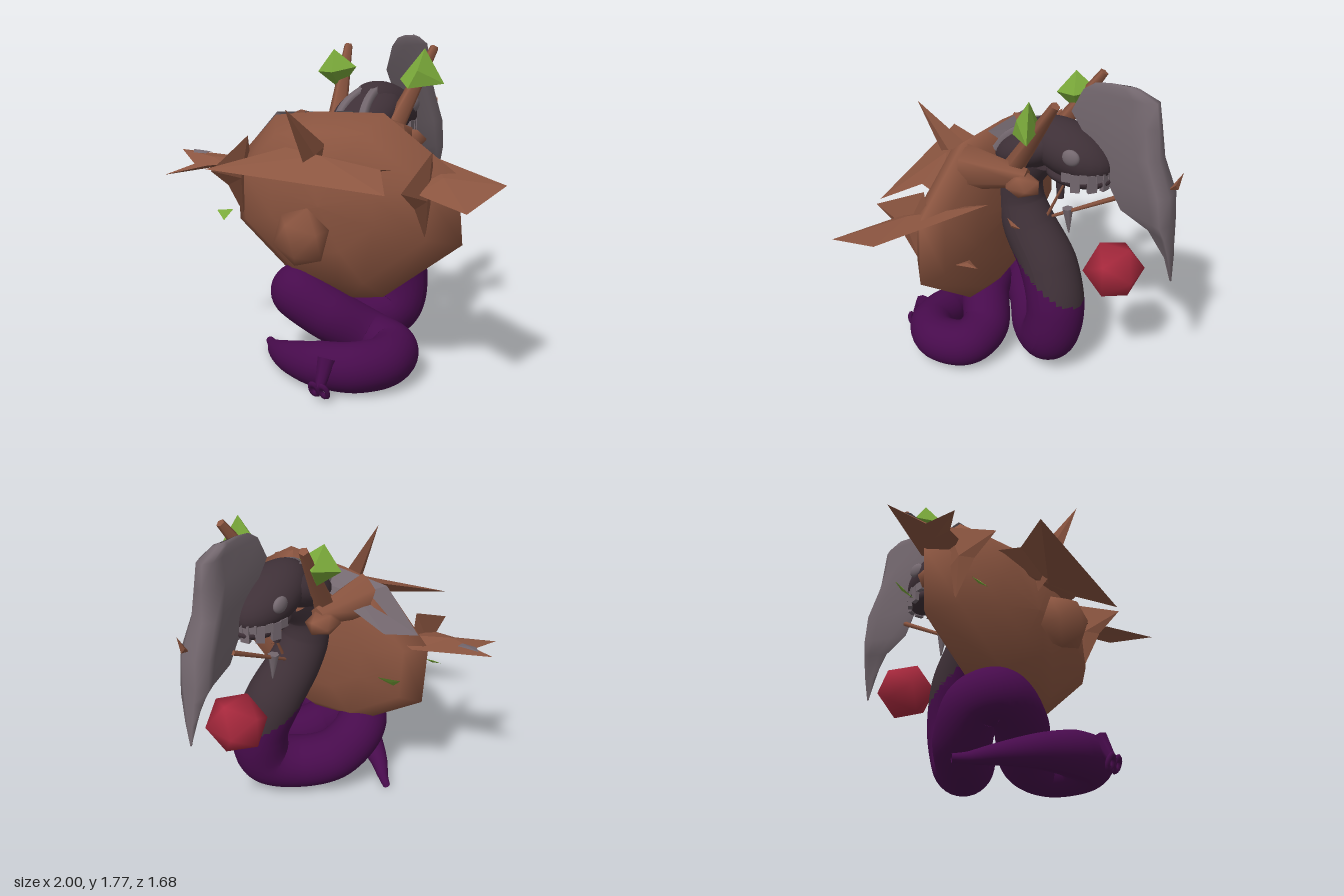
import * as THREE from 'three';
import { mergeVertices } from 'three/addons/utils/BufferGeometryUtils.js';

const mat = (name, color) => {
  const m = new THREE.MeshStandardMaterial({ color, side: THREE.DoubleSide });
  m.name = name;
  return m;
};
const V = (p) => new THREE.Vector3(...p);

// Icosahedron with shared vertices, so it shades smoothly
const softIco = () => {
  const g = new THREE.IcosahedronGeometry(1, 0);
  g.deleteAttribute('uv');
  g.deleteAttribute('normal');
  const m = mergeVertices(g, 1e-3);
  m.computeVertexNormals();
  return m;
};
// Smooth surface through equal rings of points
const loft = (rings) => {
  const n = rings[0].length, index = [];
  for (let k = 0; k < rings.length - 1; k++)
    for (let i = 0; i < n; i++) {
      const a = k * n + i, b = k * n + (i + 1) % n;
      index.push(a, a + n, b, b, a + n, b + n);
    }
  const g = new THREE.BufferGeometry();
  g.setAttribute('position', new THREE.Float32BufferAttribute(rings.flat(2), 3));
  g.setIndex(index);
  g.computeVertexNormals();
  return g;
};

export function createModel() {
  const root = new THREE.Group();
  const purple = mat('purpleScales', 0x470b4c);
  const dark = mat('darkHide', 0x3e3037);
  const wood = mat('wood', 0x8b5540);
  const bone = mat('bone', 0x74686f);
  const green = mat('green', 0x7aa93a);
  const red = mat('red', 0xa6283c);

  const add = (name, geo, material, pos = [0, 0, 0], scale = [1, 1, 1], rot = [0, 0, 0]) => {
    const m = new THREE.Mesh(geo, material);
    m.name = name;
    m.position.set(...pos);
    m.scale.set(...scale);
    m.rotation.set(...rot);
    root.add(m);
    return m;
  };
  // Faceted shard: an outline with a raised centre on both faces
  const shard = (name, pts, t, material) => {
    const p = pts.map(V), c = new THREE.Vector3(), n = new THREE.Vector3(), out = [];
    p.forEach((v) => c.addScaledVector(v, 1 / p.length));
    p.forEach((v, i) => n.add(v.clone().sub(c).cross(p[(i + 1) % p.length].clone().sub(c))));
    n.normalize();
    const a = c.clone().addScaledVector(n, t), b = c.clone().addScaledVector(n, -t);
    p.forEach((v, i) => {
      const w = p[(i + 1) % p.length];
      out.push(...a, ...v, ...w, ...b, ...w, ...v);
    });
    const g = new THREE.BufferGeometry();
    g.setAttribute('position', new THREE.Float32BufferAttribute(out, 3));
    g.computeVertexNormals();
    return add(name, g, material);
  };
  const side = (x, zy) => zy.map(([z, y]) => [x, y, z]);
  // Tapered rod between two points
  const rod = (name, a, b, r0, r1, material, n = 5) => {
    const d = V(b).sub(V(a)), mid = V(a).add(V(b)).multiplyScalar(0.5);
    const m = add(name, new THREE.CylinderGeometry(r1, r0, d.length(), n), material, mid.toArray());
    m.quaternion.setFromUnitVectors(new THREE.Vector3(0, 1, 0), d.normalize());
    return m;
  };

  // Serpent body: x, y, z, radius from neck to tail tip
  const path = [
    [0.03, 1.3, 0, 0.13], [0.03, 1.15, 0.1, 0.13], [0.03, 1, 0.1, 0.135], [0.05, 0.85, 0.03, 0.15],
    [0.09, 0.65, -0.11, 0.165], [0.14, 0.42, -0.185, 0.165], [0.13, 0.22, -0.14, 0.165],
    [0, 0.165, 0, 0.16], [-0.17, 0.23, 0.13, 0.155], [-0.24, 0.36, 0.27, 0.15], [-0.18, 0.39, 0.38, 0.15],
    [0, 0.3, 0.37, 0.145], [0.2, 0.17, 0.26, 0.14], [0.36, 0.14, 0.29, 0.135], [0.4, 0.135, 0.45, 0.132],
    [0.3, 0.13, 0.58, 0.13], [0.1, 0.115, 0.61, 0.12], [-0.1, 0.09, 0.56, 0.09],
    [-0.28, 0.055, 0.45, 0.055], [-0.39, 0.03, 0.35, 0.03], [-0.45, 0.025, 0.3, 0.022],
  ];
  const curve = new THREE.CatmullRomCurve3(path.map((p) => V(p.slice(0, 3))));
  const N = 320, R = 32;
  const body = new THREE.TubeGeometry(curve, N, 1, R);
  const bp = body.attributes.position;
  for (let i = 0; i <= N; i++) {
    const c = curve.getPointAt(i / N), f = curve.getUtoTmapping(i / N) * (path.length - 1);
    const k = Math.min(Math.floor(f), path.length - 2);
    const r = THREE.MathUtils.lerp(path[k][3], path[k + 1][3], f - k);
    for (let j = 0; j <= R; j++) {
      const q = i * (R + 1) + j, v = new THREE.Vector3().fromBufferAttribute(bp, q).sub(c).multiplyScalar(r).add(c);
      bp.setXYZ(q, v.x, Math.max(v.y, 0), v.z);
    }
  }
  body.computeVertexNormals();
  // Slanted colour break between dark neck and purple coils
  const darkFaces = [], purpleFaces = [], idx = body.index.array;
  for (let i = 0; i < idx.length; i += 3) {
    const t = [idx[i], idx[i + 1], idx[i + 2]];
    const y = t.reduce((s, q) => s + bp.getY(q) / 3, 0), z = t.reduce((s, q) => s + bp.getZ(q) / 3, 0);
    (y > 0.685 + 0.6 * z ? darkFaces : purpleFaces).push(...t);
  }
  body.setIndex([...darkFaces, ...purpleFaces]);
  body.clearGroups();
  body.addGroup(0, darkFaces.length, 0);
  body.addGroup(darkFaces.length, purpleFaces.length, 1);
  add('serpentBody', body, [dark, purple]);

  // Small knob with a ring on the front coil
  rod('coilKnob', [0.21, 0.2, 0.7], [0.21, 0.07, 0.77], 0.05, 0.025, purple, 8);
  for (const s of [-1, 1])
    add('knobRing', new THREE.TorusGeometry(0.022, 0.013, 6, 12), purple, [0.21 + s * 0.028, 0.06, 0.775], [1, 1.5, 1], [0.4, 0, 0]);

  // Head
  const ball = new THREE.SphereGeometry(1, 24, 16);
  add('skull', ball, dark, [0.03, 1.365, -0.2], [0.165, 0.14, 0.26], [-0.35, 0, 0]);
  add('hood', ball, dark, [0.03, 1.35, 0.0], [0.185, 0.12, 0.25], [0.4, 0, 0]);
  add('jaw', ball, dark, [0.03, 1.23, -0.26], [0.125, 0.06, 0.19]);
  for (const s of [-1, 1]) {
    add('eye', ball, bone, [0.03 + s * 0.145, 1.385, -0.28], [0.025, 0.045, 0.05]);
    const stripe = new THREE.CatmullRomCurve3([
      [s * 0.03 + 0.03, 1.49, -0.1], [s * 0.045 + 0.03, 1.46, 0.02], [s * 0.065 + 0.03, 1.4, 0.13], [s * 0.08 + 0.03, 1.31, 0.2],
    ].map(V));
    add('crestStripe', new THREE.TubeGeometry(stripe, 16, 0.029, 6), bone);
  }
  for (let i = 0; i < 13; i++) {
    const a = (i / 12 - 0.5) * 2.9, long = i % 2;
    add('tooth', new THREE.BoxGeometry(0.05, long ? 0.1 : 0.05, 0.025), bone,
      [0.03 + Math.sin(a) * 0.14, 1.25 + (long ? -0.01 : 0.02), -0.23 - Math.cos(a) * 0.2], [1, 1, 1], [0, -a + Math.PI, 0]);
  }

  // Bone blade over the face: height, front z, back z, half width
  const levels = [
    [1.767, -0.42, -0.54, 0.005], [1.755, -0.34, -0.58, 0.03], [1.71, -0.275, -0.68, 0.045], [1.58, -0.21, -0.7, 0.055],
    [1.42, -0.32, -0.72, 0.08], [1.24, -0.42, -0.79, 0.1], [1.08, -0.51, -0.8, 0.1],
    [1, -0.67, -0.806, 0.075], [0.86, -0.77, -0.814, 0.04], [0.73, -0.81, -0.82, 0.005],
  ];
  const section = [[0, 0.03], [0.35, 0.3], [0.7, 0.75], [0.88, 1], [1, 0.45]];
  add('faceBlade', loft(levels.map(([y, z0, z1, w]) => [
    ...section.map(([u, k]) => [0.035 + w * k, y, z0 + (z1 - z0) * u]),
    ...section.toReversed().map(([u, k]) => [0.035 - w * k, y, z0 + (z1 - z0) * u]),
  ])), bone);
  shard('bladeSplinter', side(0.05, [[-0.77, 1.27], [-0.84, 1.38], [-0.82, 1.28]]), 0.02, wood);

  // Shield: rings of one outline, from front centre round to back centre
  const outline = [[-0.66, 1.08], [-0.65, 0.73], [-0.25, 0.43], [0.1, 0.38], [0.3, 0.42], [0.75, 0.77], [0.72, 1.12], [0.3, 1.4], [-0.1, 1.385], [-0.38, 1.35]];
  const rings = [[0.001, 0.5], [0.45, 0.49], [0.8, 0.41], [1, 0.29], [0.85, 0.21], [0.5, 0.16], [0.001, 0.15]];
  add('shield', loft(rings.map(([s, z]) => outline.map(([x, y]) => [0.03 + (x - 0.03) * s, 0.92 + (y - 0.92) * s, z]))), wood);
  shard('shieldBackPatch', [[-0.6, 1.14, 0.28], [-0.38, 1.365, 0.28], [0.1, 1.395, 0.26], [0.1, 1.34, 0.14], [-0.17, 1.31, 0.09], [-0.48, 1.17, 0.13]], 0.02, bone);

  // Shield spikes and wings
  shard('rightWing', [[-1, 1.12, 0.37], [-0.6, 1.08, 0.22], [-0.45, 1.1, 0.27], [-0.6, 1.08, 0.47], [-0.7, 1.07, 0.5], [-0.86, 1.03, 0.67], [-0.83, 1.06, 0.46]], 0.03, wood);
  shard('wingPatch', [[-0.92, 1.125, 0.36], [-0.8, 1.12, 0.35], [-0.8, 1.115, 0.4], [-0.88, 1.115, 0.41]], 0.004, bone);
  shard('leftWing', [[0.45, 1.16, 0.05], [1, 1.11, 0.36], [0.94, 1.03, 0.68], [0.6, 1.05, 0.5], [0.45, 1.08, 0.3]], 0.035, wood);
  shard('frontLedge', [[-0.42, 1.13, 0.84], [0.53, 1.07, 0.69], [0.4, 1.15, 0.5], [0.45, 1.13, 0.35], [-0.35, 1.15, 0.37], [-0.15, 1.22, 0.52]], 0.06, wood);
  shard('centreSpike', side(0.03, [[0.77, 1.45], [0.42, 1.23], [0.45, 1], [0.6, 1.12]]), 0.025, wood);
  for (const x of [-0.54, 0.6])
    shard('sideSpike', side(x, [[0.34, 1.23], [0.66, 1.08], [0.52, 0.98], [0.4, 0.8], [0.3, 0.95]]), 0.03, wood);
  shard('splinter', [[0.6, 0.9, 0.08], [0.7, 0.92, 0.1], [0.65, 0.9, 0]], 0.01, wood);
  const ico = softIco();
  add('shieldBoss', ico, wood, [0.03, 0.795, 0.655], [0.16, 0.16, 0.115], [0, 0, 0.3]);

  // Harness arms and horns beside the head
  for (const s of [-1, 1]) {
    const x = (d) => 0.03 + s * d;
    rod('harnessArm', [x(0.27), 1.26, 0.28], [x(0.21), 1.25, -0.06], 0.13, 0.05, wood, 6);
    add('harnessKnot', ico, wood, [x(0.24), 1.22, -0.05], [0.09, 0.065, 0.11]);
    rod('horn', [x(0.18), 1.27, 0.04], [x(0.28), 1.71, -0.26], 0.06, 0.025, wood);
  }

  // Green crystals and leaves
  add('rightCrystal', new THREE.OctahedronGeometry(0.115), green, [-0.235, 1.58, -0.11], [1, 1, 1], [0.1, 0.3, 0.1]);
  shard('leftCrystal', [[0.18, 1.54, -0.1], [0.28, 1.5, 0], [0.42, 1.52, -0.16], [0.32, 1.71, -0.12]], 0.06, green);
  shard('leaf', [[-0.6, 0.84, 0.55], [-0.51, 0.85, 0.52], [-0.52, 0.8, 0.59]], 0.006, green);
  shard('leaf', [[-0.64, 0.97, 0.07], [-0.53, 0.98, 0.01], [-0.56, 0.88, 0.13]], 0.006, green);

  // Red gem and hanging charms
  add('gem', ico, red, [0.03, 0.7, -0.485], [0.17, 0.17, 0.18], [0, Math.PI / 2, 0]);
  rod('charmStick', [0.02, 0.89, -0.03], [0.02, 1.15, -0.5], 0.008, 0.015, wood);
  rod('charmStick', [0.05, 1.2, -0.2], [0.05, 0.9, -0.06], 0.006, 0.01, wood);
  rod('throatCharm', [0.03, 1.2, -0.15], [0.03, 1.06, -0.15], 0.03, 0.02, dark, 8);
  rod('charmFang', [0.02, 1, -0.19], [0.02, 0.85, -0.2], 0.033, 0.004, bone, 6);
  shard('neckSplinter', [[0.18, 0.94, 0.1], [0.21, 0.91, 0], [0.18, 0.88, 0.08]], 0.01, wood);

  return root;
}
